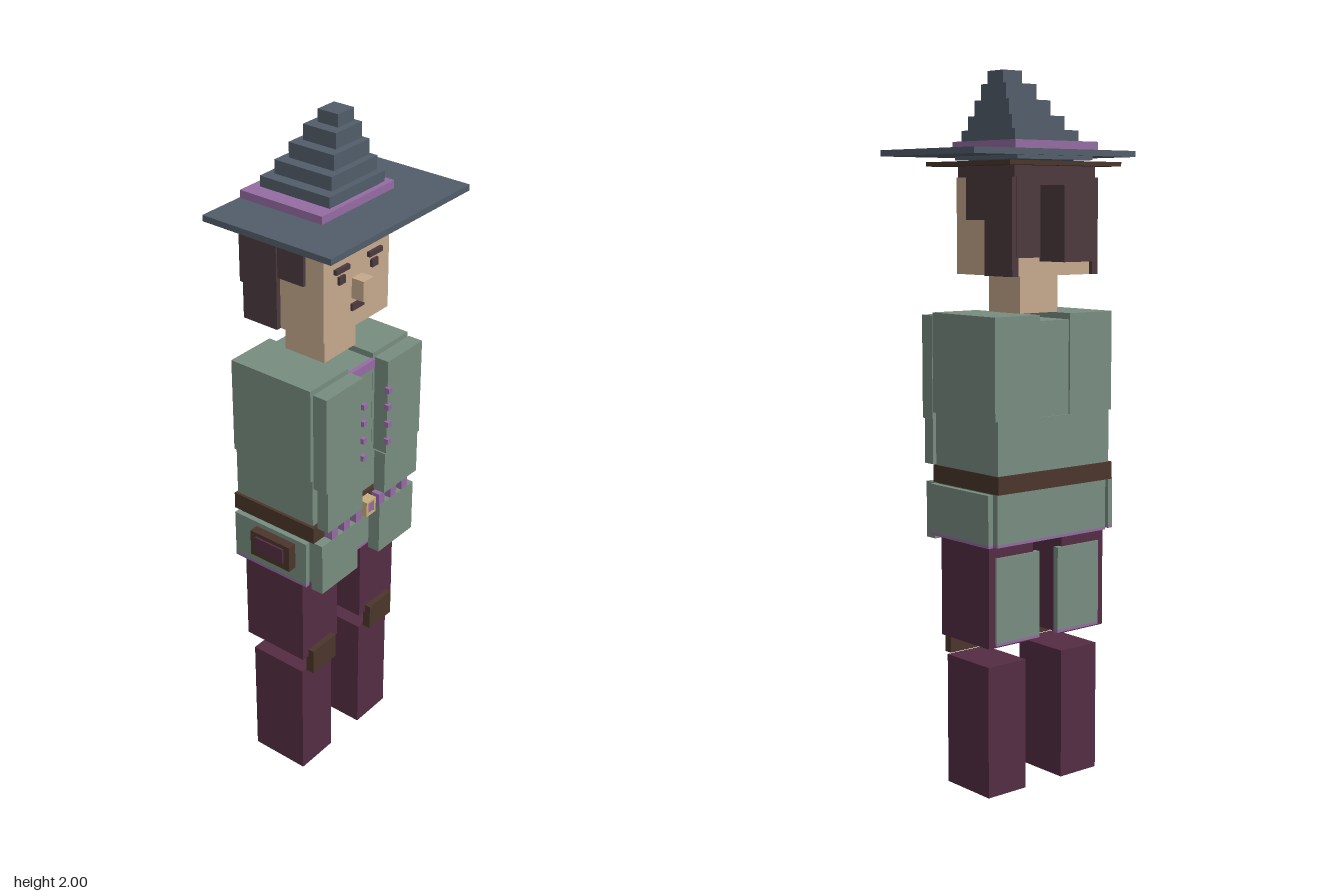
import * as THREE from 'three';

const mat = (name, color) => {
  const m = new THREE.MeshStandardMaterial({ color });
  m.name = name;
  return m;
};

export function createModel() {
  const slate = mat('slateFelt', 0x525d6a);
  const purple = mat('purpleTrim', 0x956ca3);
  const skin = mat('skin', 0xc6a98d);
  const hair = mat('darkHair', 0x4c3a3f);
  const green = mat('greenCloth', 0x788d80);
  const brown = mat('brownLeather', 0x4b352b);
  const maroon = mat('maroonCloth', 0x552d43);
  const tan = mat('tanBuckle', 0xc9ae7c);

  const root = new THREE.Group();
  root.name = 'figure';
  const section = (name) => {
    const g = new THREE.Group();
    g.name = name;
    root.add(g);
    return g;
  };
  // Box given by its limits on each axis
  const box = (parent, name, material, [x0, x1], [y0, y1], [z0, z1]) => {
    const mesh = new THREE.Mesh(new THREE.BoxGeometry(x1 - x0, y1 - y0, z1 - z0), material);
    mesh.position.set((x0 + x1) / 2, (y0 + y1) / 2, (z0 + z1) / 2);
    mesh.name = name;
    parent.add(mesh);
  };
  // The same box on both sides of x = 0
  const pair = (parent, name, material, [x0, x1], y, z) => {
    box(parent, name + 'Left', material, [x0, x1], y, z);
    box(parent, name + 'Right', material, [-x1, -x0], y, z);
  };

  // Hat: brim, band and a stepped crown leaning to one side
  const hat = section('hat');
  box(hat, 'hatLining', slate, [-0.135, 0.135], [1.762, 1.775], [-0.15, 0.117]);
  box(hat, 'brim', slate, [-0.29, 0.29], [1.773, 1.79], [-0.16, 0.252]);
  box(hat, 'hatBand', purple, [-0.15, 0.148], [1.79, 1.812], [-0.157, 0.112]);
  const steps = [1.812, 1.842, 1.88, 1.922, 1.965, 2];
  for (let i = 0; i < 5; i++) {
    box(hat, 'crownStep' + (i + 1), slate,
      [-0.101 + i * 0.0337, 0.127 - i * 0.0067],
      [steps[i], steps[i + 1]],
      [-0.131 + i * 0.0203, 0.097 - i * 0.0203]);
  }

  // Head and hair
  const head = section('head');
  box(head, 'hairPlate', brown, [-0.2, 0.2], [1.745, 1.757], [-0.197, 0.165]);
  box(head, 'skull', skin, [-0.14, 0.137], [1.45, 1.715], [-0.14, 0.108]);
  box(head, 'neck', skin, [-0.07, 0.066], [1.345, 1.45], [-0.08, 0.055]);
  box(head, 'hairCap', hair, [-0.145, 0.145], [1.715, 1.745], [-0.15, 0.092]);
  box(head, 'backHair', hair, [-0.14, 0.14], [1.5, 1.715], [-0.153, -0.138]);
  pair(head, 'templeHair', hair, [0.134, 0.15], [1.6, 1.715], [-0.04, 0.05]);
  pair(head, 'sideHair', hair, [0.134, 0.155], [1.45, 1.715], [-0.152, -0.036]);
  box(head, 'bun', hair, [-0.058, 0.057], [1.49, 1.693], [-0.25, -0.15]);
  pair(head, 'brow', hair, [0.042, 0.098], [1.632, 1.646], [0.105, 0.118]);
  pair(head, 'eye', hair, [0.056, 0.082], [1.598, 1.62], [0.105, 0.116]);
  box(head, 'nose', skin, [-0.022, 0.02], [1.537, 1.595], [0.105, 0.147]);
  box(head, 'mouth', hair, [-0.026, 0.024], [1.502, 1.522], [0.105, 0.115]);

  // Jacket body with raised front panels
  const jacket = section('jacket');
  box(jacket, 'chestCentre', green, [-0.055, 0.055], [1.065, 1.328], [-0.145, 0.122]);
  pair(jacket, 'chestSide', green, [0.055, 0.213], [1.065, 1.345], [-0.15, 0.123]);
  box(jacket, 'waist', green, [-0.204, 0.204], [0.915, 1.065], [-0.15, 0.122]);
  pair(jacket, 'chestPanel', green, [0.055, 0.21], [1.045, 1.336], [0.13, 0.175]);
  pair(jacket, 'waistPanel', green, [0.05, 0.203], [0.915, 1.045], [0.138, 0.175]);
  box(jacket, 'collar', purple, [-0.054, 0.054], [1.305, 1.331], [0.118, 0.132]);
  for (const y of [1.25, 1.197, 1.143, 1.088]) {
    pair(jacket, 'button', purple, [0.048, 0.063], [y - 0.008, y + 0.008], [0.17, 0.185]);
  }

  // Belt with a row of studs and a buckle
  const belt = section('belt');
  box(belt, 'beltStrap', brown, [-0.213, 0.207], [0.866, 0.916], [-0.155, 0.132]);
  for (let i = -3; i <= 3; i++) {
    const x = i * 0.0535;
    box(belt, 'stud', purple, [x - 0.013, x + 0.013], [0.872, 0.91], [0.138, 0.165]);
  }
  pair(belt, 'buckleSide', tan, [0.013, 0.021], [0.868, 0.914], [0.138, 0.168]);
  box(belt, 'buckleTop', tan, [-0.021, 0.021], [0.908, 0.915], [0.138, 0.168]);
  box(belt, 'buckleBottom', tan, [-0.021, 0.021], [0.867, 0.874], [0.138, 0.168]);

  // Jacket skirt, flaps and coat tails with trim
  const skirt = section('skirt');
  box(skirt, 'skirtBody', green, [-0.2, 0.2], [0.726, 0.866], [-0.143, 0.118]);
  box(skirt, 'skirtTrim', purple, [-0.2, 0.2], [0.718, 0.726], [-0.143, 0.118]);
  pair(skirt, 'frontFlap', green, [0.05, 0.21], [0.705, 0.866], [0.122, 0.16]);
  pair(skirt, 'sideFlap', green, [0.214, 0.23], [0.728, 0.866], [-0.14, 0.118]);
  pair(skirt, 'sideFlapTrim', purple, [0.214, 0.23], [0.72, 0.728], [-0.14, 0.118]);
  pair(skirt, 'coatTail', green, [0.034, 0.19], [0.446, 0.685], [-0.126, -0.108]);
  pair(skirt, 'coatTailTrim', purple, [0.034, 0.19], [0.438, 0.446], [-0.126, -0.108]);

  // Pouch on the right hip
  const pouch = section('pouch');
  box(pouch, 'pouchBody', brown, [-0.257, -0.225], [0.772, 0.852], [-0.06, 0.08]);
  box(pouch, 'pouchFlap', maroon, [-0.263, -0.257], [0.795, 0.84], [-0.04, 0.06]);

  // Legs
  const legs = section('legs');
  pair(legs, 'thigh', maroon, [0.054, 0.212], [0.433, 0.718], [-0.12, 0.09]);
  pair(legs, 'kneePad', brown, [0.083, 0.187], [0.376, 0.456], [0.082, 0.108]);
  pair(legs, 'lowerLeg', maroon, [0.067, 0.202], [0, 0.376], [-0.105, 0.078]);

  return root;
}
